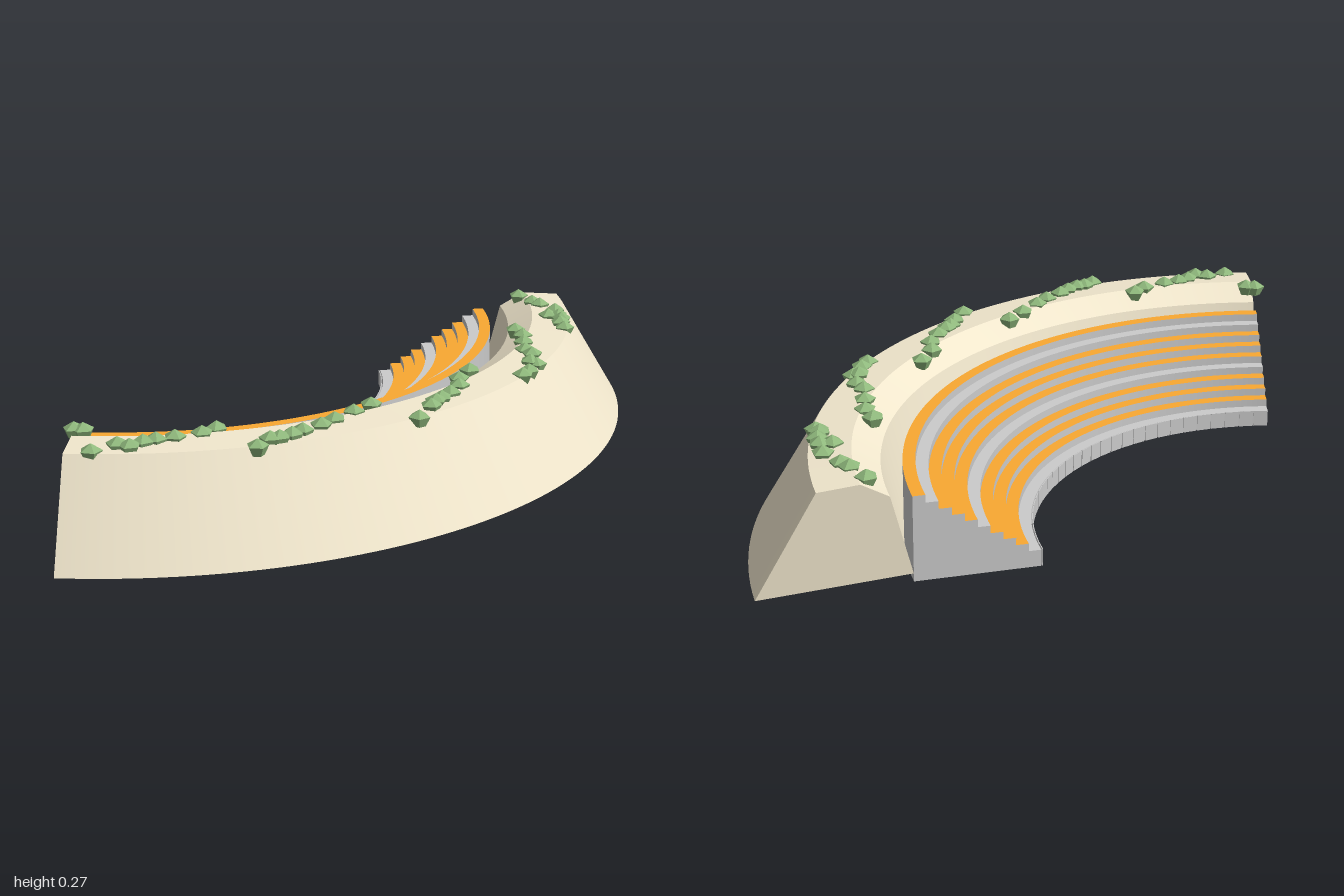
import * as THREE from 'three';
import { mergeGeometries } from 'three/addons/utils/BufferGeometryUtils.js';

const CZ = -0.83;                      // centre of the arc
const HALF = Math.asin(1 / 1.273);     // half of the swept angle
const SEGS = 60;
const BAYS = 6;                        // hollow bays divided by cross walls

const material = (color) => new THREE.MeshStandardMaterial({ color, side: THREE.DoubleSide });

// Sweeps profile edges [[r,y],[r,y]] round the arc: creased between edges, smooth along it
function sweep(edges) {
  const pos = [], nor = [], idx = [];
  for (const [[r0, y0], [r1, y1]] of edges) {
    const len = Math.hypot(r1 - r0, y1 - y0);
    const nr = -(y1 - y0) / len, ny = (r1 - r0) / len;
    const base = pos.length / 3;
    for (let i = 0; i <= SEGS; i++) {
      const t = HALF * (2 * i / SEGS - 1), s = Math.sin(t), c = Math.cos(t);
      pos.push(r0 * s, y0, CZ + r0 * c, r1 * s, y1, CZ + r1 * c);
      nor.push(nr * s, ny, nr * c, nr * s, ny, nr * c);
      if (i < SEGS) {
        const a = base + 2 * i;
        idx.push(a, a + 1, a + 2, a + 1, a + 3, a + 2);
      }
    }
  }
  const g = new THREE.BufferGeometry();
  g.setAttribute('position', new THREE.Float32BufferAttribute(pos, 3));
  g.setAttribute('normal', new THREE.Float32BufferAttribute(nor, 3));
  g.setIndex(idx);
  return g;
}

// Flat profile walls at both ends and between the bays
function crossWalls(profile) {
  const shape = new THREE.Shape(profile.map(([r, y]) => new THREE.Vector2(r, y)));
  const walls = [];
  for (let k = 0; k <= BAYS; k++) {
    const t = HALF * (2 * k / BAYS - 1);
    const g = new THREE.ShapeGeometry(shape);
    if (k === BAYS) {                  // turn the far end outward
      const ix = g.index.array;
      for (let i = 0; i < ix.length; i += 3) [ix[i], ix[i + 1]] = [ix[i + 1], ix[i]];
      const n = g.attributes.normal;
      for (let i = 0; i < n.count; i++) n.setZ(i, -1);
    }
    walls.push(g.rotateY(t - Math.PI / 2).translate(0, 0, CZ));
  }
  return mergeGeometries(walls);
}

export function createModel() {
  const model = new THREE.Group();
  const add = (name, geometry, mat) => {
    const mesh = new THREE.Mesh(geometry, mat);
    mesh.name = name;
    model.add(mesh);
  };
  const grey = material(0xcccccc), orange = material(0xfaa832);
  const sand = material(0xf0e6cc);
  const green = new THREE.MeshStandardMaterial({ color: 0x8fb87c, flatShading: true });

  // Stepped terrace, open below: every fourth tread is a grey walkway, the rest are seats
  const R0 = 0.63, DEPTH = 0.0291, Y0 = 0.04, RISE = 0.0185, STEPS = 10;
  const stair = [[R0, 0]], body = [], seats = [];
  let last = stair[0];
  for (let i = 0; i < STEPS; i++) {
    const front = [R0 + i * DEPTH, Y0 + i * RISE];
    const back = [R0 + (i + 1) * DEPTH, front[1]];
    body.push([last, front]);
    (i % 4 === 0 ? body : seats).push([front, back]);
    stair.push(front, back);
    last = back;
  }
  const foot = [last[0], 0];
  stair.push(foot);
  body.push([last, foot]);
  add('terraceSteps', sweep(body), grey);
  add('terraceCrossWalls', crossWalls(stair), grey);
  add('seatRows', sweep(seats), orange);

  // Low barrier of separate flat panels along the inner edge
  const barrier = new THREE.Group();
  barrier.name = 'innerBarrier';
  const PANELS = 30, stepAngle = 2 * HALF / PANELS;
  const panel = new THREE.BoxGeometry(1.87 * 0.6265 * Math.tan(stepAngle / 2), 0.041, 0.002);
  for (let i = 0; i < PANELS; i++) {
    const t = -HALF + (i + 0.5) * stepAngle;
    const m = new THREE.Mesh(panel, grey);
    m.name = 'barrierPanel';
    m.position.set(0.6265 * Math.sin(t), 0.0205, CZ + 0.6265 * Math.cos(t));
    m.rotation.y = t;
    barrier.add(m);
  }
  model.add(barrier);

  // Earth bank behind the seating, open below
  const bank = [[0.921, 0.02], [0.97, 0.212], [1.034, 0.248], [1.131, 0.24], [1.273, 0]];
  add('earthBank', sweep(bank.slice(1).map((b, i) => [bank[i], b])), sand);
  add('earthBankCrossWalls', crossWalls(bank), sand);

  // Clusters of five-sided bushes, as x, z pairs along the bank
  const clusters = [
    [-0.78, -0.22, -0.77, -0.2],
    [-0.84, -0.09, -0.78, -0.07, -0.77, -0.04, -0.73, -0.04, -0.7, -0.03, -0.66, -0.01, -0.6, 0.015, -0.555, 0.015],
    [-0.565, 0.16, -0.52, 0.155, -0.5, 0.165, -0.465, 0.17, -0.43, 0.17, -0.375, 0.175, -0.325, 0.17, -0.255, 0.165, -0.19, 0.16],
    [-0.17, 0.295, -0.1, 0.27, -0.065, 0.255, -0.04, 0.25, 0.005, 0.24, 0.06, 0.22, 0.1, 0.185, 0.17, 0.16],
    [0.245, 0.27, 0.28, 0.26, 0.33, 0.225, 0.335, 0.24, 0.38, 0.19, 0.395, 0.155, 0.445, 0.11, 0.49, 0.07, 0.515, 0.025],
    [0.635, 0.095, 0.65, 0.07, 0.68, 0.05, 0.68, 0.005, 0.7, 0.025, 0.735, -0.015, 0.75, -0.08, 0.755, -0.11, 0.775, -0.175],
  ];
  const bushProfile = [[0, -0.02], [0.016, -0.02], [0.027, 0.003], [0, 0.02]];
  const bush = new THREE.LatheGeometry(bushProfile.map(([r, y]) => new THREE.Vector2(r, y)), 5);
  const bushes = new THREE.Group();
  bushes.name = 'bushes';
  for (const c of clusters) {
    for (let i = 0; i < c.length; i += 2) {
      const [x, z] = [c[i], c[i + 1]];
      const m = new THREE.Mesh(bush, green);
      m.name = 'bush';
      m.position.set(x, Math.hypot(x, z - CZ) > 1.115 ? 0.242 : 0.248, z);
      m.rotation.y = i * 1.3 + x * 5;
      bushes.add(m);
    }
  }
  model.add(bushes);
  return model;
}
